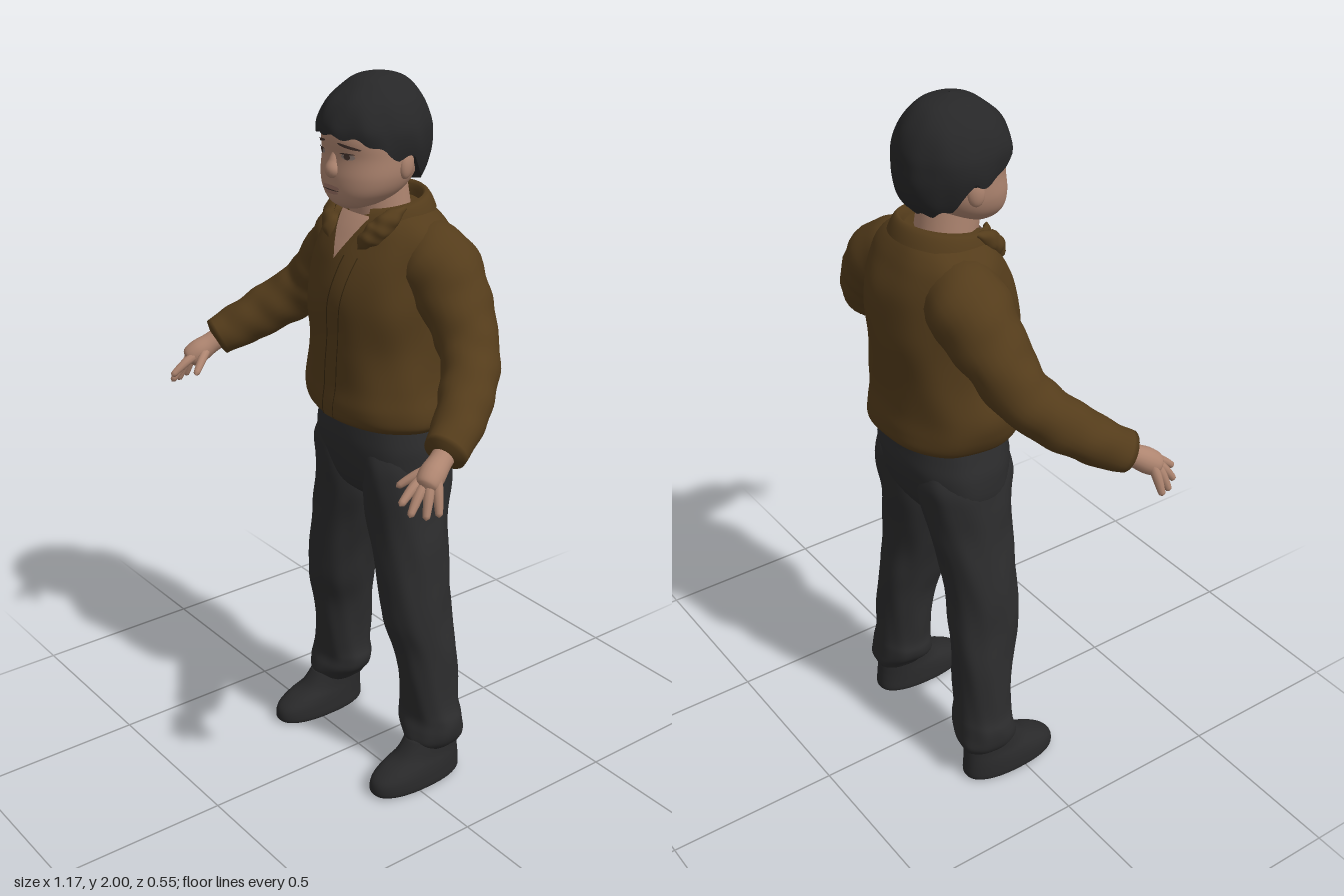
import * as THREE from 'three';
import { mergeVertices } from 'three/addons/utils/BufferGeometryUtils.js';
import { ParametricGeometry } from 'three/addons/geometries/ParametricGeometry.js';

const TAU = Math.PI * 2;

function material(name, color, side = THREE.FrontSide) {
  const m = new THREE.MeshStandardMaterial({ color, side });
  m.name = name;
  return m;
}

// Weld seams so that normals are smooth all round
function smooth(geometry) {
  geometry.deleteAttribute('uv');
  geometry.deleteAttribute('normal');
  const g = mergeVertices(geometry, 1e-5);
  g.computeVertexNormals();
  return g;
}

// Catmull-Rom through a list of number rows, t in 0..1
function rowAt(rows, t) {
  const f = Math.min(t, 1) * (rows.length - 1);
  const i = Math.min(Math.floor(f), rows.length - 2), s = f - i;
  const [a, b, c, d] = [-1, 0, 1, 2].map(k => rows[Math.min(Math.max(i + k, 0), rows.length - 1)]);
  return b.map((_, k) => b[k] + 0.5 * s * (c[k] - a[k] +
    s * (2 * a[k] - 5 * b[k] + 4 * c[k] - d[k] + s * (3 * (b[k] - c[k]) + d[k] - a[k]))));
}

// Dense horizontal sections, bottom to top: [y, centre x, half width, front z, back z]
const dense = (rows, n = 60) => Array.from({ length: n + 1 }, (_, i) => rowAt(rows, i / n));

function sectionAtY(sections, y) {
  const i = Math.min(Math.max(sections.findIndex(s => s[0] >= y), 1), sections.length - 1);
  const a = sections[i - 1], b = sections[i];
  const t = THREE.MathUtils.clamp((y - a[0]) / (b[0] - a[0] || 1), 0, 1);
  return a.map((v, k) => v + (b[k] - v) * t);
}

// Point on a superellipse section; angle 0 faces the front, then turns to +x
function ringPoint([y, cx, rx, zf, zb], angle, n, target, k = 1) {
  const s = Math.sin(angle), c = Math.cos(angle), p = 2 / n;
  target.set(cx + k * rx * Math.sign(s) * Math.abs(s) ** p, y,
    (zf + zb) / 2 + k * (zf - zb) / 2 * Math.sign(c) * Math.abs(c) ** p);
}

// Cloth folds around and along a loft
const fold = (a, y) => Math.sin(3 * a + y * 21) + Math.sin(5 * a - y * 34) + 0.7 * Math.sin(9 * a + y * 13);

// Closed loft with optional folds
function loft(sections, n = 2.2, folds = 0, slices = 48) {
  const rows = sections.length + 2;
  return smooth(new ParametricGeometry((u, v, target) => {
    const row = Math.round(v * (rows - 1)), a = (u % 1) * TAU;
    const sec = sections[THREE.MathUtils.clamp(row - 1, 0, sections.length - 1)];
    ringPoint(sec, a, n, target, row === 0 || row === rows - 1 ? 0 : 1 + folds * fold(a, sec[0]));
  }, slices, rows - 1));
}

// Thin skin laid over the front of a loft; f(u, v) gives x, y
function patch(sections, n, f, offset = 0.004, folds = 0) {
  return smooth(new ParametricGeometry((u, v, target) => {
    const [x, y] = f(u, v), sec = sectionAtY(sections, y);
    const h = THREE.MathUtils.clamp((x - sec[1]) / sec[2], -1, 1);
    const a = Math.asin(Math.sign(h) * Math.abs(h) ** (n / 2));
    ringPoint(sec, a, n, target, 1 + folds * fold(a, y));
    target.z += offset;
  }, 12, 30));
}
const lens = (cx, cy, rx, ry, tilt = 0) => (u, v) => {
  const h = 2 * u - 1, w = 2 * v - 1;
  return [cx + h * rx, cy + w * ry * Math.sqrt(1 - h * h) + tilt * h];
};

// Round tube of changing radius through points [x, y, z, r]
function limb(points, folds = 0, steps = 32, sides = 20) {
  const curve = new THREE.CatmullRomCurve3(points.map(p => new THREE.Vector3(p[0], p[1], p[2])));
  const g = new THREE.TubeGeometry(curve, steps, 1, sides);
  const pos = g.attributes.position, p = new THREE.Vector3();
  for (let k = 0; k < pos.count; k++) {
    const i = Math.floor(k / (sides + 1)), a = (k % (sides + 1)) / sides * TAU;
    const c = curve.getPointAt(i / steps);
    const r = Math.max(rowAt(points, curve.getUtoTmapping(i / steps))[3], 0.0005);
    const f = Math.sin(2 * a + i * 0.9) + Math.sin(3 * a - i * 0.6);
    p.fromBufferAttribute(pos, k).sub(c).multiplyScalar(r * (1 + folds * f)).add(c);
    pos.setXYZ(k, p.x, p.y, p.z);
  }
  return smooth(g);
}

export function createModel() {
  const model = new THREE.Group();
  model.name = 'standingFigure';
  const jacket = material('brown jacket', 0x543c1b, THREE.DoubleSide);
  const seam = material('dark seam', 0x38280f, THREE.DoubleSide);
  const trousers = material('charcoal trousers', 0x2c2c2d);
  const shoe = material('black shoes', 0x29292a);
  const hair = material('black hair', 0x272728, THREE.DoubleSide);
  const skin = material('skin', 0xae8570, THREE.DoubleSide);
  const lip = material('lips', 0x9c7264);
  const eyeWhite = material('eye white', 0x8c7a72);
  const dark = material('eye and brow', 0x43322c);
  const add = (name, geometry, mat, parent = model) => {
    const mesh = new THREE.Mesh(geometry, mat);
    mesh.name = name;
    parent.add(mesh);
    return mesh;
  };

  // Jacket body
  const body = dense([
    [1.08, 0.012, 0.2, 0.075, -0.24], [1.10, 0.012, 0.22, 0.10, -0.262], [1.14, 0.005, 0.23, 0.105, -0.262],
    [1.20, -0.003, 0.227, 0.098, -0.255], [1.30, 0, 0.209, 0.098, -0.262], [1.42, 0, 0.208, 0.106, -0.272],
    [1.52, 0, 0.205, 0.08, -0.265], [1.59, 0, 0.195, 0.043, -0.238], [1.63, 0, 0.165, 0.018, -0.215],
    [1.66, 0, 0.108, -0.005, -0.19]]);
  add('jacketBody', loft(body, 2.2, 0.008, 64), jacket);

  // Front placket with its seams
  const strip = (a, b) => (u, v) => [a + (b - a) * u - 0.02 * (1 - v) + 0.03 * v * v, 1.10 + v * 0.45];
  add('placket', patch(body, 2.2, strip(0.005, 0.05), 0.005, 0.008), jacket);
  add('placketSeamInner', patch(body, 2.2, strip(0.001, 0.005), 0.0065, 0.008), seam);
  add('placketSeamOuter', patch(body, 2.2, strip(0.047, 0.05), 0.0065, 0.008), seam);

  // Open neck, neck and turned-down collar
  add('openNeck', patch(body, 2.2, (u, v) => [(2 * u - 1) * 0.06 * v, 1.535 + 0.11 * v], 0.006, 0.008), skin);
  add('neck', limb([[0, 1.55, -0.08, 0.085], [0, 1.64, -0.07, 0.082], [0, 1.76, -0.05, 0.08]]), skin);
  add('collar', smooth(new ParametricGeometry((u, v, target) => {
    const a = 0.6 + u * (TAU - 1.2), front = (1 + Math.cos(a)) / 2;
    const out = Math.max(v - 0.4, 0) / 0.6, inn = Math.max(0.4 - v, 0) / 0.4;
    const r = 0.108 + 0.034 * Math.sqrt(out) - 0.016 * inn;
    const y = 1.698 - 0.03 * front - out * (0.045 + 0.055 * front ** 2) - inn * 0.06;
    target.set(r * Math.sin(a), y, -0.08 + r * Math.cos(a) * 0.97);
  }, 48, 12)), jacket);

  // Hips
  add('hips', loft(dense([
    [0.825, 0, 0.07, -0.04, -0.13], [0.86, 0, 0.14, 0.015, -0.182], [0.92, 0, 0.203, 0.046, -0.215],
    [1.0, 0, 0.211, 0.062, -0.232], [1.06, 0, 0.2, 0.06, -0.225], [1.12, 0, 0.185, 0.05, -0.215]], 30),
  2.4, 0.005), trousers);

  // Head
  const head = dense([
    [1.664, 0, 0.03, 0.05, -0.01], [1.68, 0, 0.068, 0.072, -0.06], [1.71, 0, 0.102, 0.084, -0.11],
    [1.75, 0, 0.12, 0.086, -0.145], [1.80, 0, 0.125, 0.08, -0.165], [1.85, 0, 0.124, 0.083, -0.17],
    [1.90, 0, 0.112, 0.065, -0.165], [1.95, 0, 0.075, 0.015, -0.13]]);
  add('head', loft(head, 2.2), skin);
  add('nose', limb([[0, 1.825, 0.064, 0.008], [0, 1.79, 0.076, 0.015], [0, 1.768, 0.079, 0.023],
    [0, 1.752, 0.074, 0.016], [0, 1.744, 0.072, 0]]), skin);
  add('upperLip', patch(head, 2.2, lens(0, 1.724, 0.034, 0.006)), lip);
  add('lowerLip', patch(head, 2.2, lens(0, 1.712, 0.028, 0.006)), lip);
  add('mouthLine', patch(head, 2.2, lens(0, 1.718, 0.034, 0.0015), 0.006), dark);

  // Hair cap whose lower edge follows the fringe, ears and nape
  const cap = dense([
    [1.71, 0, 0.098, 0.04, -0.16], [1.75, 0, 0.118, 0.07, -0.188], [1.80, 0, 0.134, 0.093, -0.2],
    [1.84, 0, 0.14, 0.098, -0.2], [1.88, 0, 0.136, 0.098, -0.197], [1.93, 0, 0.113, 0.074, -0.18],
    [1.97, 0, 0.077, 0.03, -0.15], [1.99, 0, 0.048, -0.005, -0.115], [2.0, 0, 0.002, -0.054, -0.058]]);
  const hairline = [[0, 1.86], [0.7, 1.852], [1.15, 1.825], [1.45, 1.795], [1.7, 1.81], [2.0, 1.745], [2.5, 1.725], [3.15, 1.72]];
  add('hair', smooth(new ParametricGeometry((u, v, target) => {
    const a = (u % 1) * TAU, side = Math.min(a, TAU - a);
    const i = hairline.findIndex(h => h[0] > side), [p, q] = [hairline[i - 1], hairline[i]];
    const low = p[1] + (q[1] - p[1]) * (side - p[0]) / (q[0] - p[0]) + 0.005 * Math.sin(13 * a);
    const t = Math.max((v - 0.05) / 0.95, 0);
    const y = low + (2.0 - low) * Math.sin(t * Math.PI / 2);
    const lock = 1 + (0.014 * Math.sin(7 * a + 9 * v) + 0.008 * Math.sin(12 * a - 6 * v)) * (1 - v);
    ringPoint(sectionAtY(cap, y), a, 2.1, target, v < 0.01 ? 0.8 : lock);
  }, 80, 40)), hair);

  for (const s of [1, -1]) {
    const m = pts => pts.map(([x, ...rest]) => [x * s, ...rest]);
    const mirrorRows = rows => rows.map(([y, x, ...rest]) => [y, x * s, ...rest]);
    const group = name => {
      const g = new THREE.Group();
      g.name = (s > 0 ? 'left' : 'right') + name;
      model.add(g);
      return g;
    };

    // Face details and ear
    const face = group('FaceSide');
    add('eye', patch(head, 2.2, lens(s * 0.053, 1.808, 0.02, 0.0075), 0.003), eyeWhite, face);
    add('iris', patch(head, 2.2, lens(s * 0.052, 1.808, 0.009, 0.0075), 0.0045), dark, face);
    add('eyelid', patch(head, 2.2, lens(s * 0.053, 1.816, 0.023, 0.002), 0.0055), dark, face);
    add('brow', patch(head, 2.2, lens(s * 0.056, 1.834, 0.032, 0.004, -s * 0.006)), dark, face);
    const ear = add('ear', new THREE.SphereGeometry(1, 16, 12), skin, face);
    ear.scale.set(0.015, 0.038, 0.024);
    ear.position.set(s * 0.118, 1.783, -0.062);
    ear.rotation.set(-0.15, s * 0.25, 0);

    // Collar flap rolled over the chest
    add(s > 0 ? 'leftCollarFlap' : 'rightCollarFlap', limb(m([[0.118, 1.672, -0.06, 0.006], [0.112, 1.648, -0.02, 0.024],
      [0.092, 1.612, 0.01, 0.031], [0.07, 1.583, 0.036, 0.022], [0.06, 1.565, 0.05, 0]]), 0.05), jacket);

    // Sleeve with gathered cuff
    const arm = group('Arm');
    add('sleeve', limb(m([[0.03, 1.54, -0.108, 0.078], [0.11, 1.535, -0.118, 0.102], [0.19, 1.503, -0.124, 0.108],
      [0.27, 1.43, -0.114, 0.092], [0.355, 1.335, -0.084, 0.077], [0.428, 1.265, -0.012, 0.071], [0.486, 1.205, 0.076, 0.062],
      [0.505, 1.183, 0.116, 0.056], [0.512, 1.172, 0.135, 0.047], [0.513, 1.17, 0.137, 0]]), 0.02, 56, 24), jacket, arm);

    // Palm, fingers and thumb
    add('palm', limb(m([[0.505, 1.18, 0.115, 0.03], [0.515, 1.162, 0.145, 0.03], [0.527, 1.14, 0.18, 0.034],
      [0.538, 1.122, 0.205, 0.027], [0.542, 1.115, 0.215, 0]])), skin, arm);
    const fingers = [
      [0.515, 1.13, 0.205, 0.524, 1.086, 0.275], [0.532, 1.122, 0.208, 0.546, 1.06, 0.262],
      [0.546, 1.12, 0.2, 0.567, 1.05, 0.228], [0.553, 1.125, 0.182, 0.578, 1.053, 0.196],
      [0.505, 1.145, 0.165, 0.458, 1.10, 0.234]];
    fingers.forEach(([x, y, z, X, Y, Z], i) => {
      const at = (t, r, lift = 0) => [x + (X - x) * t, y + (Y - y) * t + lift, z + (Z - z) * t, r];
      add(i < 4 ? 'finger' + (i + 1) : 'thumb',
        limb(m([at(-0.2, 0.013), at(0.3, 0.013, 0.005), at(0.7, 0.011, 0.003), at(0.95, 0.008), at(1, 0)]), 0, 16, 10), skin, arm);
    });

    // Trouser leg, bunched at the ankle
    const leg = group('Leg');
    add('trouserLeg', loft(dense(mirrorRows([
      [0.112, 0.23, 0.06, -0.02, -0.18], [0.135, 0.228, 0.076, -0.01, -0.188], [0.165, 0.217, 0.094, -0.014, -0.184],
      [0.2, 0.211, 0.098, -0.025, -0.18], [0.25, 0.207, 0.086, -0.02, -0.176], [0.4, 0.195, 0.083, -0.002, -0.177],
      [0.5, 0.178, 0.088, 0.025, -0.175], [0.6, 0.163, 0.095, 0.03, -0.17], [0.72, 0.138, 0.103, 0.033, -0.18],
      [0.82, 0.115, 0.107, 0.038, -0.197], [0.91, 0.108, 0.105, 0.047, -0.215], [0.98, 0.103, 0.1, 0.05, -0.222],
      [1.05, 0.09, 0.08, 0.035, -0.2]])), 2.2, 0.014), trousers, leg);

    // Shoe
    add('shoe', loft(dense(mirrorRows([
      [0, 0.235, 0.056, 0.112, -0.165], [0.012, 0.235, 0.067, 0.126, -0.175], [0.045, 0.235, 0.066, 0.12, -0.174],
      [0.07, 0.234, 0.062, 0.085, -0.172], [0.095, 0.232, 0.056, 0.03, -0.17], [0.14, 0.23, 0.052, -0.01, -0.165]]), 24), 2.3), shoe, leg);
  }
  return model;
}
